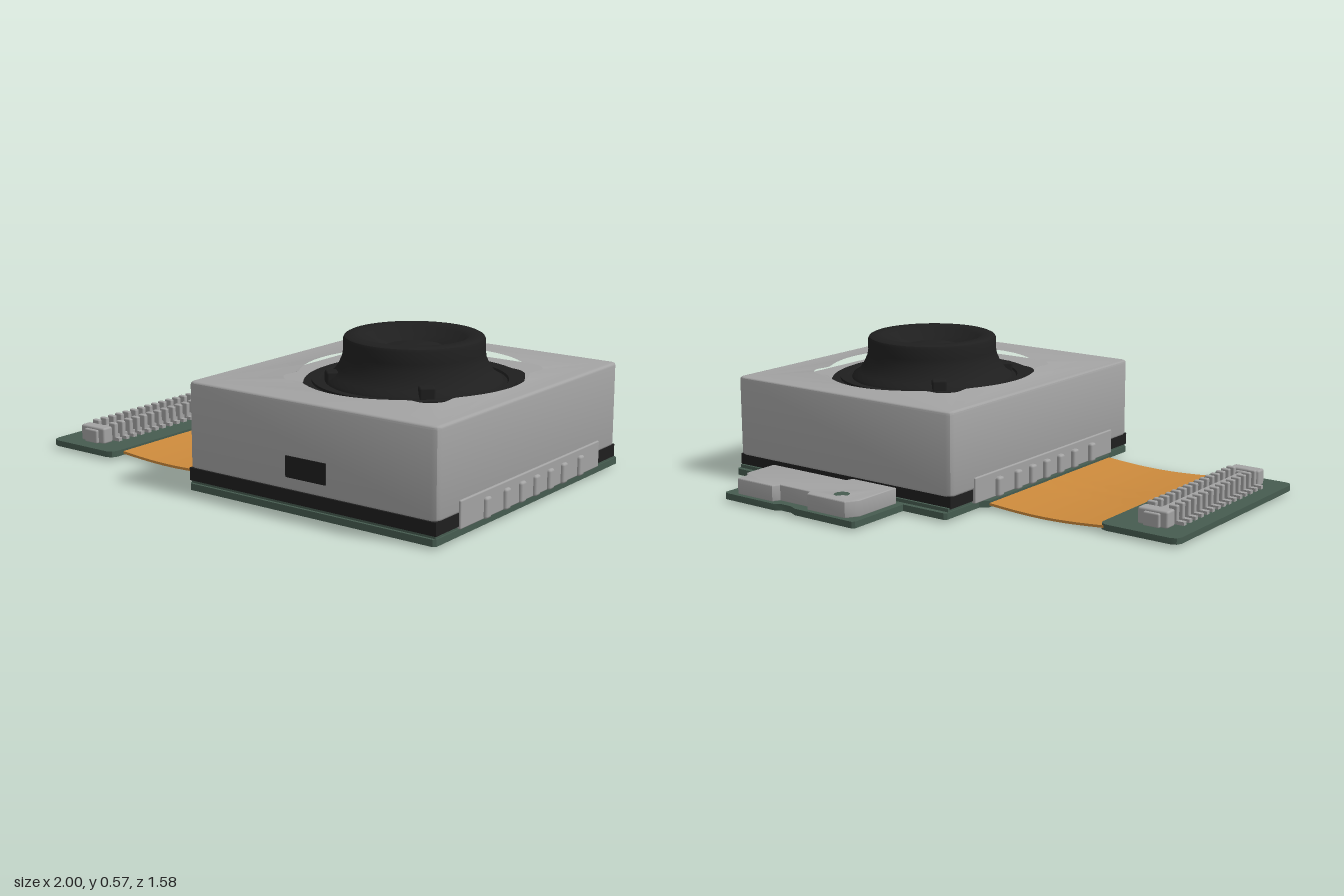
import * as THREE from 'three';
import { toCreasedNormals } from 'three/addons/utils/BufferGeometryUtils.js';
import { RoundedBoxGeometry } from 'three/addons/geometries/RoundedBoxGeometry.js';

const mat = (name, color) => {
  const m = new THREE.MeshStandardMaterial({ color });
  m.name = name;
  return m;
};

export function createModel() {
  const root = new THREE.Group();
  root.name = 'cameraModule';
  const metal = mat('grey metal', 0xa3a3a3);
  const green = mat('board green', 0x465c50);
  const black = mat('lens black', 0x1f1f1f);
  const orange = mat('flex orange', 0xcc8a3c);

  const add = (name, geo, material, parent = root) => {
    const m = new THREE.Mesh(geo, material);
    m.name = name;
    parent.add(m);
    return m;
  };
  // Box given by its limits on each axis
  const box = (name, [x0, x1], [y0, y1], [z0, z1], material, parent = root, r = 0) => {
    const s = [x1 - x0, y1 - y0, z1 - z0];
    const g = r ? new RoundedBoxGeometry(...s, 2, r) : new THREE.BoxGeometry(...s);
    g.translate((x0 + x1) / 2, (y0 + y1) / 2, (z0 + z1) / 2);
    return add(name, g, material, parent);
  };
  // Plan outline (x, z) raised from y0 to y1
  const outline = (pts, Type = THREE.Shape) =>
    new Type(pts.map(([x, z]) => new THREE.Vector2(x, -z)));
  const slab = (name, shape, y0, y1, material, bevel = 0) => {
    const g = new THREE.ExtrudeGeometry(shape, {
      depth: y1 - y0 - 2 * bevel, bevelEnabled: bevel > 0, bevelThickness: bevel,
      bevelSize: bevel, bevelOffset: -bevel, bevelSegments: 3, curveSegments: 20,
    });
    g.rotateX(-Math.PI / 2);
    g.translate(0, y0 + bevel, 0);
    return add(name, toCreasedNormals(g, 0.6), material);
  };
  const rect = (x0, x1, z0, z1, c) => [
    [x0 + c, z0], [x1 - c, z0], [x1 - c * 0.3, z0 + c * 0.3], [x1, z0 + c],
    [x1, z1 - c], [x1 - c * 0.3, z1 - c * 0.3], [x1 - c, z1], [x0 + c, z1],
    [x0 + c * 0.3, z1 - c * 0.3], [x0, z1 - c], [x0, z0 + c], [x0 + c * 0.3, z0 + c * 0.3],
  ];
  const CX = 0.44, CZ = 0.14;
  const polar = (radius, n = 120) => Array.from({ length: n }, (_, i) => {
    const a = (i / n) * Math.PI * 2, r = radius(a);
    return [CX + r * Math.cos(a), CZ + r * Math.sin(a)];
  });
  // Smooth bump of given width around an angle
  const lobe = (a, at, w) => {
    const d = Math.atan2(Math.sin(a - at), Math.cos(a - at));
    return Math.exp(-Math.pow(d / w, 4));
  };

  // Main board with rear tab
  slab('mainBoard', outline([
    [-0.12, -0.5], [0.08, -0.5], [0.08, -0.78], [0.09, -0.79], [0.38, -0.79], [0.41, -0.775],
    [0.46, -0.775], [0.49, -0.79], [0.75, -0.79], [0.76, -0.78], [0.76, -0.5], [0.97, -0.5],
    [0.98, -0.49], [0.98, 0.78], [0.97, 0.79], [-0.12, 0.79], [-0.13, 0.78], [-0.13, 0.64],
    [-0.16, 0.6], [-0.16, -0.26], [-0.13, -0.29], [-0.13, -0.49],
  ]), 0.01, 0.036, green);
  box('boardRim', [-0.125, 0.975], [0.036, 0.05], [-0.48, 0.78], green);
  box('baseFrame', [-0.13, 0.98], [0.046, 0.095], [-0.47, 0.785], black);

  // Housing with a lobed opening in its top
  const shell = outline(rect(-0.135, 0.98, -0.475, 0.78, 0.025));
  const corners = [0.82, 2.3, -2.37, -0.78];
  shell.holes.push(outline(polar((a) => 0.445 + 0.045 * Math.pow(Math.sin(a), 4)
    + corners.reduce((s, c) => s + 0.055 * lobe(a, c, 0.15), 0)), THREE.Path));
  slab('housing', shell, 0.09, 0.425, metal, 0.012);
  box('recessFloor', [-0.1, 0.95], [0.2, 0.375], [-0.44, 0.75], metal);
  box('frontWindow', [0.33, 0.51], [0.14, 0.22], [0.775, 0.784], black);

  // Lens carrier and barrel
  slab('lensCarrier', outline(polar((a) => 0.415 + 0.035 * Math.pow(Math.sin(a), 4)
    + 0.02 * lobe(a, -0.95, 0.14) + 0.02 * lobe(a, 2.2, 0.14)
    - 0.02 * lobe(a, 0.8, 0.12) - 0.02 * lobe(a, -2.35, 0.12))), 0.37, 0.392, black);
  const profile = [
    [0.39, 0.385], [0.39, 0.402], [0.36, 0.402], [0.355, 0.394], [0.34, 0.394], [0.335, 0.405],
    [0.312, 0.42], [0.29, 0.45], [0.274, 0.485], [0.27, 0.51], [0.27, 0.555], [0.265, 0.565],
    [0.255, 0.57], [0.215, 0.57], [0.195, 0.56], [0.16, 0.535], [0.125, 0.522], [0.118, 0.516],
    [0.112, 0.522], [0.06, 0.531], [0, 0.534],
  ].map(([x, y]) => new THREE.Vector2(x, y));
  const lens = add('lensBarrel', toCreasedNormals(new THREE.LatheGeometry(profile, 72), 0.6), black);
  lens.position.set(CX, 0, CZ);
  [0.82, 2.33, -2.33].forEach((a) => {
    const nub = add('barrelNub', new RoundedBoxGeometry(0.05, 0.05, 0.06, 2, 0.008), black);
    nub.position.set(CX + 0.315 * Math.cos(a), 0.415, CZ + 0.315 * Math.sin(a));
    nub.rotation.y = -a;
  });

  // Side contact strips with raised pins
  for (const side of [-1, 1]) {
    const strip = new THREE.Group();
    strip.name = side > 0 ? 'leftContacts' : 'rightContacts';
    strip.position.set(side > 0 ? 0.976 : -0.131, 0, 0);
    strip.scale.x = 1;
    root.add(strip);
    box('contactPlate', [-0.012, 0.012], [0.036, 0.14], [-0.33, 0.645], metal, strip, 0.005);
    for (const z of [0.48, 0.35, 0.245, 0.145, 0.045, -0.055, -0.18]) {
      box('contactPin', side > 0 ? [0, 0.024] : [-0.03, 0], [0.036, 0.115],
        [z - 0.019, z + 0.019], metal, strip, 0.01);
    }
  }

  // Rear shielded chip
  const chip = outline([
    [0.11, -0.505], [0.11, -0.72], [0.14, -0.77], [0.33, -0.77], [0.345, -0.74], [0.5, -0.74],
    [0.515, -0.77], [0.7, -0.77], [0.705, -0.71], [0.73, -0.69], [0.73, -0.535], [0.34, -0.535], [0.33, -0.505],
  ]);
  chip.holes.push(new THREE.Path().absarc(0.22, 0.695, 0.035, 0, Math.PI * 2, true));
  slab('rearChip', chip, 0.034, 0.1, metal, 0.004);
  const plug = add('chipHoleFloor', new THREE.CylinderGeometry(0.036, 0.036, 0.045, 24), metal);
  plug.position.set(0.22, 0.062, -0.695);

  // Sagging flex ribbon with two light creases
  const flex = new THREE.BoxGeometry(0.56, 0.01, 0.85, 16, 1, 40);
  const p = flex.attributes.position;
  for (let i = 0; i < p.count; i++) {
    const t = p.getX(i) / 0.56 + 0.5, z = p.getZ(i) + 0.175;
    const crease = 0.004 * (lobe(z * 6, 0.6, 0.25) + lobe(z * 6, 1.3, 0.2));
    p.setY(i, p.getY(i) + 0.025 - Math.sin(t * Math.PI) * (0.015 + crease));
    p.setZ(i, z + (z < 0.1 ? -0.012 * t : 0));
  }
  flex.computeVertexNormals();
  flex.translate(-0.41, 0, 0);
  add('flexRibbon', toCreasedNormals(flex, 0.7), orange);

  // End board and its pin connector
  slab('connectorBoard', outline(rect(-1, -0.66, -0.255, 0.665, 0.03)), 0.012, 0.036, green);
  const plugGroup = new THREE.Group();
  plugGroup.name = 'connector';
  root.add(plugGroup);
  box('connectorBase', [-0.89, -0.79], [0.034, 0.055], [-0.15, 0.57], metal, plugGroup);
  box('connectorSpine', [-0.855, -0.825], [0.05, 0.085], [-0.12, 0.55], metal, plugGroup);
  for (const [z0, z1] of [[-0.18, -0.1], [0.53, 0.605]]) {
    box('connectorEnd', [-0.905, -0.775], [0.034, 0.1], [z0 + 0.012, z1 - 0.012], metal, plugGroup, 0.008);
    box('connectorEndTab', [-0.875, -0.805], [0.034, 0.09], [z0, z1], metal, plugGroup, 0.006);
  }
  for (let i = 0; i < 15; i++) {
    const z = -0.09 + i * 0.0435, zs = [z - 0.01, z + 0.01];
    box('pinFootOuter', [-0.935, -0.88], [0.034, 0.05], zs, metal, plugGroup);
    box('pinOuter', [-0.905, -0.868], [0.04, 0.108], zs, metal, plugGroup, 0.005);
    box('pinInner', [-0.812, -0.775], [0.04, 0.108], zs, metal, plugGroup, 0.005);
    box('pinFootInner', [-0.795, -0.755], [0.034, 0.05], zs, metal, plugGroup);
  }
  return root;
}
